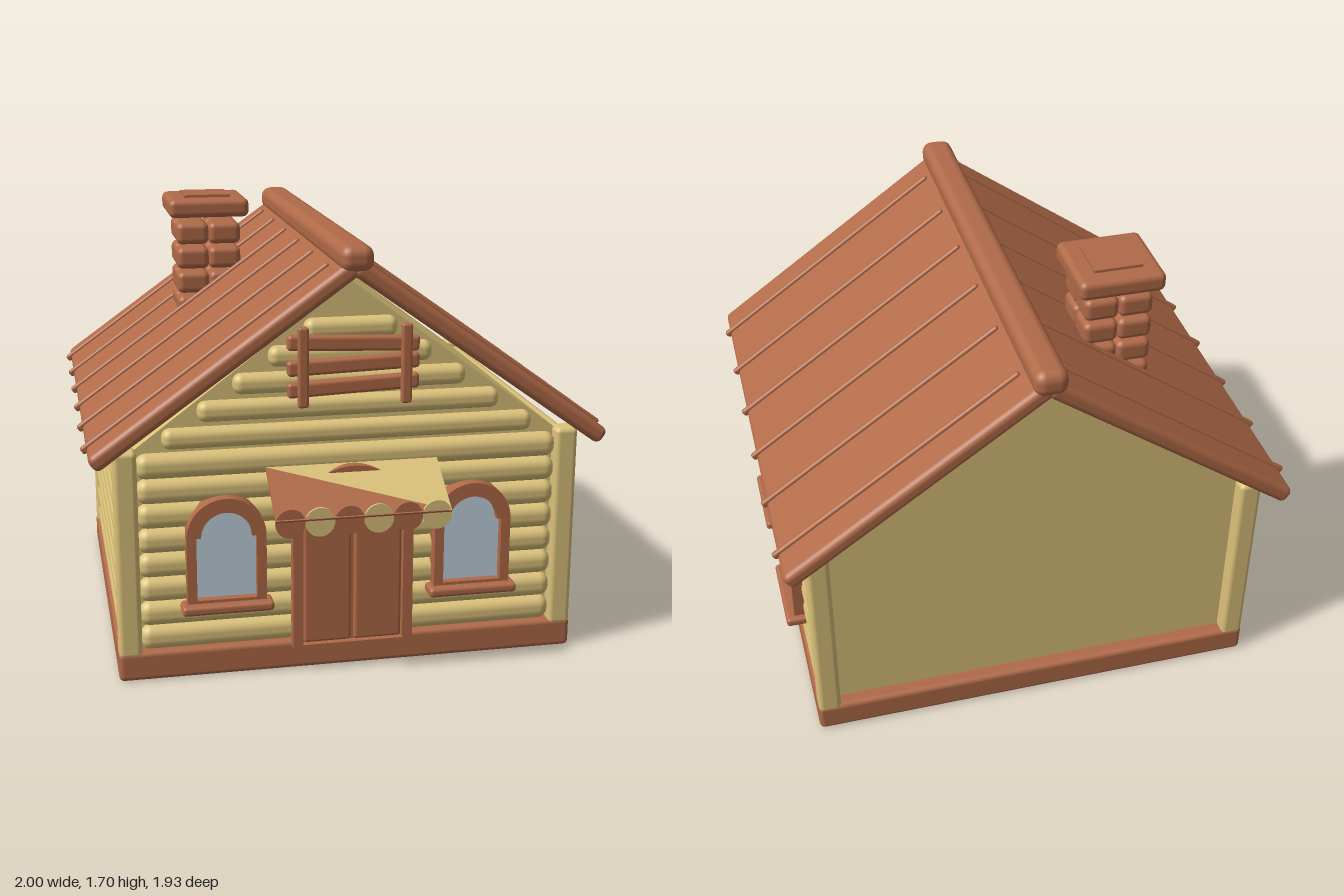
import * as THREE from 'three';
import { RoundedBoxGeometry } from 'three/addons/geometries/RoundedBoxGeometry.js';

const material = (name, color, extra = {}) => {
  const m = new THREE.MeshStandardMaterial({ color, ...extra });
  m.name = name;
  return m;
};

export function createModel() {
  const brown = material('reddish brown wood', 0xb06a48, { side: THREE.DoubleSide });
  const straw = material('straw wood', 0xdcc27a, { side: THREE.DoubleSide });
  const glass = material('pale glass', 0xc3d3df);
  const house = new THREE.Group();
  house.name = 'logCabin';

  const add = (parent, name, geometry, mat, x = 0, y = 0, z = 0) => {
    const mesh = new THREE.Mesh(geometry, mat);
    mesh.name = name;
    mesh.position.set(x, y, z);
    parent.add(mesh);
    return mesh;
  };
  const group = (name, x = 0, y = 0, z = 0) => {
    const g = new THREE.Group();
    g.name = name;
    g.position.set(x, y, z);
    house.add(g);
    return g;
  };
  const rounded = (w, h, d, r) => new RoundedBoxGeometry(w, h, d, 3, r);
  const extrude = (shape, depth) =>
    new THREE.ExtrudeGeometry(shape, { depth, bevelEnabled: false, curveSegments: 20 });
  const polygon = (points) => new THREE.Shape(points.map(([x, y]) => new THREE.Vector2(x, y)));

  // Arched outline: straight jambs, then a half circle that may be narrower
  const arch = (half, bottom, spring, radius = half) => {
    const s = new THREE.Shape();
    s.moveTo(-half, bottom);
    s.lineTo(half, bottom);
    s.lineTo(half, spring);
    s.lineTo(radius, spring);
    s.absarc(0, spring, radius, 0, Math.PI, false);
    s.lineTo(-half, spring);
    s.closePath();
    return s;
  };

  // Base, plain inner walls and gable block
  add(house, 'base', rounded(1.78, 0.116, 1.62, 0.02), brown, 0, 0.058, -0.06);
  add(house, 'wallCore', new THREE.BoxGeometry(1.66, 0.78, 1.515), straw, 0, 0.49, -0.0575);
  add(house, 'gable', extrude(polygon([[-0.83, 0.88], [0.83, 0.88], [0, 1.5]]), 1.515), straw, 0, 0, -0.815);

  // Corner posts
  for (const x of [-0.844, 0.844]) for (const z of [0.708, -0.827])
    add(house, 'cornerPost', rounded(0.088, 0.81, 0.088, 0.02), straw, x, 0.498, z);

  // Wall logs on the front and both sides
  const frontLog = rounded(1.61, 0.095, 0.094, 0.04);
  const sideLog = rounded(0.094, 0.095, 1.46, 0.04);
  for (let i = 0; i < 8; i++) {
    const y = 0.163 + i * 0.096;
    add(house, 'frontLog', frontLog, straw, 0, y, 0.7);
    for (const s of [-1, 1]) add(house, 'sideLog', sideLog, straw, s * 0.835, y, -0.06);
  }

  // Gable logs, shorter towards the top
  for (let i = 0; i < 5; i++)
    add(house, 'gableLog', rounded(1.41 - i * 0.265, 0.077, 0.09, 0.032), straw, 0, 0.936 + i * 0.0975, 0.7);

  // Boarded gable window
  const boards = group('boardedWindow');
  [[1.278, -0.04], [1.198, 0.03], [1.119, 0.04]].forEach(([y, tilt]) => {
    add(boards, 'board', rounded(0.495, 0.058, 0.04, 0.014), brown, 0, y, 0.76).rotation.z = tilt;
  });
  for (const x of [-0.193, 0.193])
    add(boards, 'boardBatten', rounded(0.04, 0.3, 0.03, 0.01), brown, x, 1.2, 0.79);

  // Roof slopes with ribs
  const pitch = 0.62, slope = 1.187;
  for (const s of [-1, 1]) {
    const roof = group('roofSlope', 0, 1.566, 0);
    roof.rotation.z = -s * pitch;
    add(roof, 'roofSlab', rounded(slope, 0.066, 1.772, 0.025), brown, s * slope / 2, 0, -0.062);
    for (let i = 0; i < 6; i++)
      add(roof, 'roofRib', rounded(1.13, 0.03, 0.024, 0.01), brown, s * 0.633, 0.031, 0.673 - i * 0.2945);
  }
  add(house, 'ridgeBeam', rounded(0.125, 0.1, 1.803, 0.04), brown, 0, 1.594, -0.0625);

  // Chimney of stacked bricks with a cap
  const chimney = group('chimney', -0.401, 0, -0.353);
  const brick = rounded(0.134, 0.09, 0.134, 0.025);
  for (let row = 0; row < 4; row++)
    for (const x of [-0.067, 0.067]) for (const z of [-0.067, 0.067])
      add(chimney, 'chimneyBrick', brick, brown, x, 1.542 - row * 0.103, z);
  add(chimney, 'chimneyCap', rounded(0.333, 0.077, 0.333, 0.025), brown, 0, 1.651, 0);
  add(chimney, 'chimneyTop', new THREE.BoxGeometry(0.19, 0.03, 0.19), brown, 0, 1.685, 0);

  // Arched windows
  const frameShape = arch(0.149, 0.312, 0.57);
  frameShape.holes.push(arch(0.113, 0.325, 0.57, 0.095));
  const frameGeometry = extrude(frameShape, 0.07);
  const paneGeometry = new THREE.ShapeGeometry(arch(0.13, 0.315, 0.57), 20);
  const sillGeometry = rounded(0.345, 0.037, 0.09, 0.014);
  const addWindow = (x, z, turn) => {
    const w = group('window', x, 0, z);
    w.rotation.y = turn;
    add(w, 'windowFrame', frameGeometry, brown, 0, 0, -0.03);
    add(w, 'windowPane', paneGeometry, glass, 0, 0, 0.008);
    add(w, 'windowSill', sillGeometry, brown, 0, 0.295, 0.03);
  };
  addWindow(-0.481, 0.75, 0);
  addWindow(0.465, 0.75, 0);
  addWindow(0.88, 0.218, Math.PI / 2);
  addWindow(0.88, -0.383, Math.PI / 2);

  // Arched double door
  const door = group('door', 0, 0, 0.74);
  const doorFrame = arch(0.232, 0.1, 0.585);
  doorFrame.holes.push(arch(0.193, 0.112, 0.585));
  add(door, 'doorFrame', extrude(doorFrame, 0.05), brown);
  add(door, 'doorBacking', extrude(arch(0.2, 0.105, 0.585), 0.02), brown);
  for (const s of [-1, 1])
    add(door, 'doorLeaf', rounded(0.184, 0.48, 0.04, 0.012), brown, s * 0.098, 0.355, 0.02);

  // Awning split diagonally into two colours
  const awning = group('awning', 0, 0.81, 0.745);
  const top = [-0.327, 0], bottom = [0.327, -0.258];
  const cloth = new THREE.Group();
  cloth.name = 'awningCloth';
  cloth.rotation.x = -Math.PI / 2 + 0.555;
  awning.add(cloth);
  add(cloth, 'awningBrownHalf', extrude(polygon([top, [-0.327, -0.258], bottom]), 0.01), brown);
  add(cloth, 'awningStrawHalf', extrude(polygon([top, bottom, [0.327, 0]]), 0.01), straw);
  add(awning, 'awningRod', new THREE.BoxGeometry(0.654, 0.012, 0.012), straw, 0, -0.135, 0.212);

  // Round flaps along the awning edge
  const flap = new THREE.CylinderGeometry(0.055, 0.055, 0.01, 24).rotateX(Math.PI / 2);
  for (let i = 0; i < 6; i++)
    add(awning, 'awningFlap', flap, i % 2 ? straw : brown, -0.273 + i * 0.1092, -0.142, 0.215);

  return house;
}
